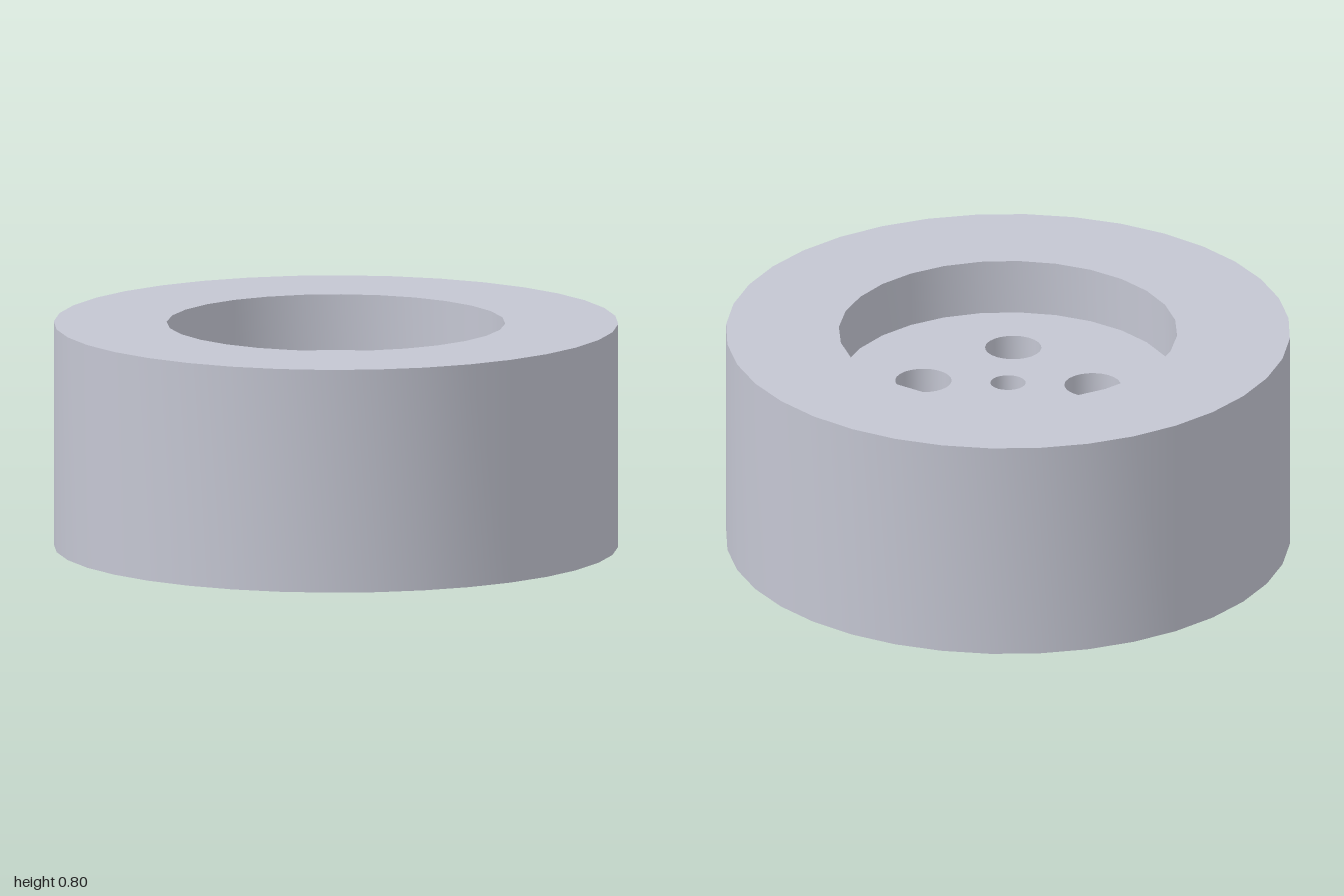
import * as THREE from 'three';
import { toCreasedNormals } from 'three/addons/utils/BufferGeometryUtils.js';

// Points of a regular polygon standing in for a circle
function circle(radius, sides, cx = 0, cy = 0) {
  return Array.from({ length: sides }, (_, i) => {
    const a = (i / sides) * Math.PI * 2;
    return new THREE.Vector2(cx + radius * Math.cos(a), cy + radius * Math.sin(a));
  });
}

// Upright plate with holes, from y = bottom, smooth around its walls
function plate(name, outline, holes, bottom, height, material) {
  const shape = new THREE.Shape(outline);
  shape.holes = holes.map((points) => new THREE.Path(points));
  const extruded = new THREE.ExtrudeGeometry(shape, { depth: height, bevelEnabled: false });
  extruded.rotateX(-Math.PI / 2).translate(0, bottom, 0);
  const mesh = new THREE.Mesh(toCreasedNormals(extruded, Math.PI / 5), material);
  mesh.name = name;
  return mesh;
}

export function createModel() {
  const metal = new THREE.MeshStandardMaterial({ color: 0xc4c6d2 });
  metal.name = 'pale grey metal';

  const wheel = new THREE.Group();
  wheel.name = 'wheel';

  // Thick outer rim
  wheel.add(plate('rim', circle(1, 36), [circle(0.6, 28)], 0, 0.8, metal));

  // Recessed hub disc with an axle hole and four bolt holes
  const holes = [circle(0.0625, 24)];
  for (let i = 0; i < 4; i++) {
    const a = (i * Math.PI) / 2;
    holes.push(circle(0.1, 24, 0.3 * Math.cos(a), 0.3 * Math.sin(a)));
  }
  wheel.add(plate('hubDisc', circle(0.6, 28), holes, 0.2, 0.4, metal));

  // The bolt pattern is turned about the axle
  wheel.rotation.y = THREE.MathUtils.degToRad(-28.2);

  const model = new THREE.Group();
  model.name = 'wheelModel';
  model.add(wheel);
  return model;
}
